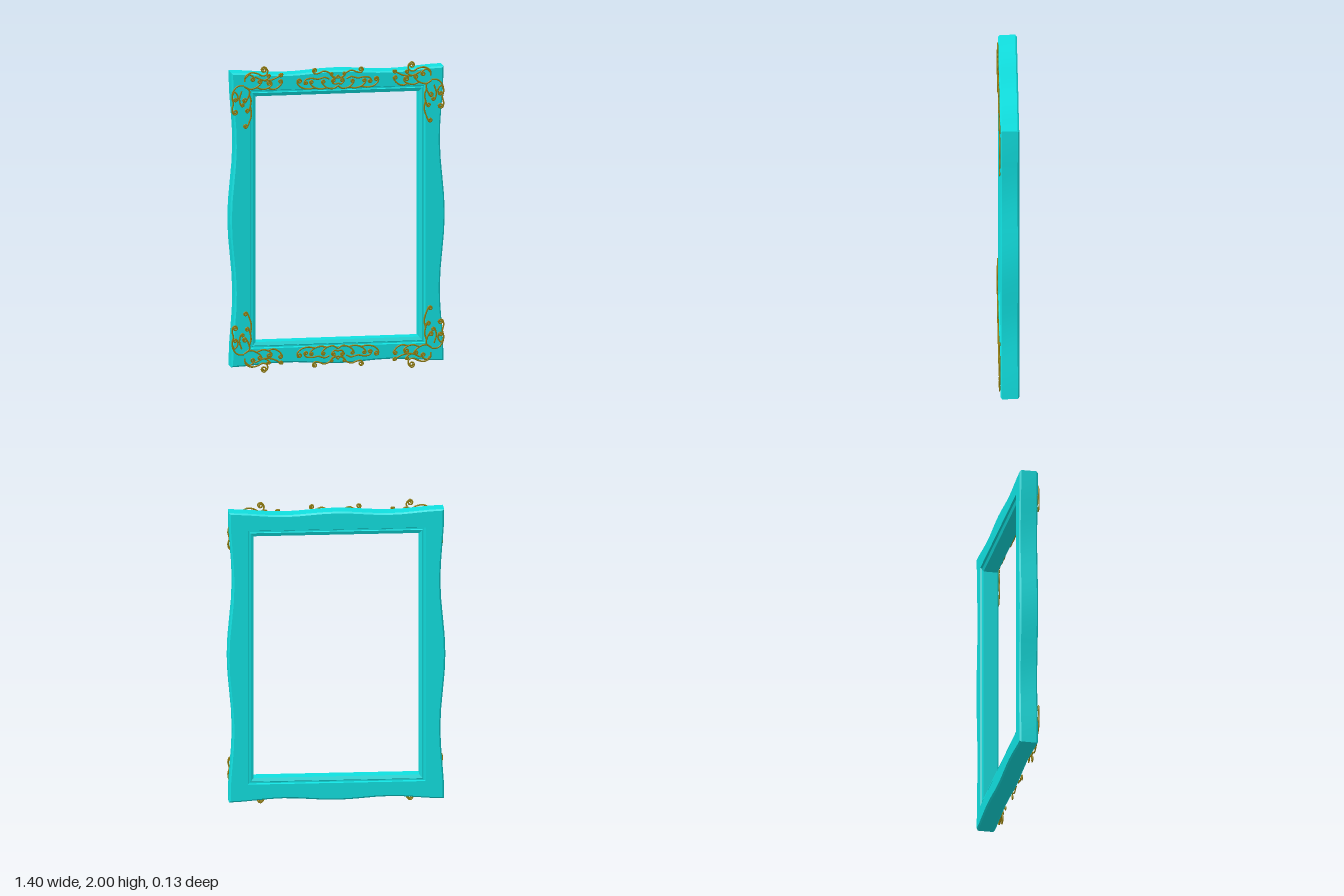
import * as THREE from 'three';
import { toCreasedNormals } from 'three/addons/utils/BufferGeometryUtils.js';

const HX = 0.69, HY = 0.958, MID = 1, SEGS = 16;
const frameMat = new THREE.MeshStandardMaterial({ color: 0x10e0e0 });
const goldMat = new THREE.MeshStandardMaterial({ color: 0x9a8410 });

// Gentle wave of an outer edge; s runs -1..1 along the side
const wave = (s, dip, bulge) => dip * (Math.cos(2 * Math.PI * s) - 1) / 2 + bulge * (1 - s * s);

// One counter-clockwise ring around the frame
function ring(hx, hy, wavy) {
  const pts = [];
  for (let side = 0; side < 4; side++) {
    for (let i = 0; i < SEGS; i++) {
      const s = -1 + 2 * i / SEGS;
      const sign = side < 2 ? 1 : -1;
      if (side % 2 === 0) pts.push([sign * (hx + wavy * wave(s, 0.03, 0.008)), sign * s * hy]);
      else pts.push([-sign * s * hx, sign * (hy + wavy * wave(s, 0.018, -0.004))]);
    }
  }
  return pts;
}

// Moulding: rings swept over the section, outer front edge inwards, then round the back
function frameGeometry() {
  const section = [
    [HX, HY, 0.045, 1], [HX - 0.01, HY - 0.01, 0.055, 1],
    [0.57, 0.84, 0.055, 0], [0.565, 0.835, 0.042, 0], [0.556, 0.826, 0.042, 0],
    [0.552, 0.822, 0.048, 0], [0.532, 0.8, 0.04, 0],
    [0.532, 0.8, -0.05, 0], [0.552, 0.822, -0.058, 0], [0.556, 0.826, -0.052, 0],
    [0.565, 0.835, -0.052, 0], [0.57, 0.84, -0.065, 0],
    [HX - 0.01, HY - 0.01, -0.065, 1], [HX, HY, -0.055, 1],
  ];
  const pos = [], idx = [], n = SEGS * 4, m = section.length;
  for (const [hx, hy, z, w] of section)
    for (const [x, y] of ring(hx, hy, w)) pos.push(x, y + MID, z);
  for (let i = 0; i < m; i++) {
    for (let j = 0; j < n; j++) {
      const k = (j + 1) % n, i2 = (i + 1) % m;
      const a = i * n + j, b = i * n + k, c = i2 * n + j, d = i2 * n + k;
      idx.push(a, b, c, b, d, c);
    }
  }
  const g = new THREE.BufferGeometry();
  g.setAttribute('position', new THREE.Float32BufferAttribute(pos, 3));
  g.setIndex(idx);
  return toCreasedNormals(g, 0.3);
}

// Points of a spiral that carries on from the end of a path and winds in to a centre
function spiral(path, [cx, cy]) {
  const [ax, ay] = path[path.length - 2], [bx, by] = path[path.length - 1];
  const dir = Math.sign((bx - ax) * (cy - by) - (by - ay) * (cx - bx)) || 1;
  const r0 = Math.hypot(bx - cx, by - cy), a0 = Math.atan2(by - cy, bx - cx);
  const out = [];
  for (let i = 1; i <= 12; i++) {
    const t = i / 12, a = a0 + dir * t * Math.PI * 2.8, r = r0 * (1 - 0.75 * t);
    out.push([cx + r * Math.cos(a), cy + r * Math.sin(a)]);
  }
  return out;
}

// A vine stroke: a path with an optional curl at its end and at its start
function stroke(path, endCurl, startCurl) {
  let pts = path.slice();
  if (endCurl) pts = pts.concat(spiral(path, endCurl));
  if (startCurl) pts = spiral(path.slice().reverse(), startCurl).reverse().concat(pts);
  const curve = new THREE.CatmullRomCurve3(pts.map(([x, y]) => new THREE.Vector3(x, y, 0)));
  const g = new THREE.TubeGeometry(curve, pts.length * 4, 0.0055, 6);
  return g.scale(1, 1, 0.75).translate(0, 0, 0.06);
}

// Strokes are drawn for the upper +x quarter: [path, end curl, start curl]
const cornerStrokes = [
  // top scroll
  [[[0.605, 1.9], [0.6, 1.935], [0.565, 1.957], [0.52, 1.95], [0.49, 1.935], [0.462, 1.945], [0.458, 1.972], [0.478, 1.993]], [0.48, 1.974]],
  [[[0.6, 1.925], [0.575, 1.945], [0.545, 1.925]], [0.555, 1.915]],
  // side scroll
  [[[0.61, 1.875], [0.65, 1.872], [0.677, 1.845], [0.688, 1.8], [0.68, 1.76], [0.688, 1.72], [0.68, 1.692]], [0.668, 1.704]],
  [[[0.688, 1.81], [0.672, 1.835], [0.652, 1.81], [0.655, 1.782]], [0.667, 1.785]],
  // inner vine along the top
  [[[0.61, 1.87], [0.57, 1.85], [0.53, 1.862], [0.505, 1.882], [0.495, 1.9]], [0.508, 1.897]],
  [[[0.53, 1.862], [0.49, 1.848], [0.455, 1.855], [0.43, 1.875], [0.435, 1.896]], [0.446, 1.885]],
  [[[0.455, 1.855], [0.42, 1.845], [0.385, 1.86], [0.362, 1.89]], [0.374, 1.895]],
  [[[0.54, 1.93], [0.48, 1.905], [0.43, 1.908], [0.39, 1.925], [0.362, 1.945]], [0.372, 1.937]],
  [[[0.48, 1.905], [0.458, 1.915], [0.44, 1.935]], [0.45, 1.932]],
  // inner vine down the side
  [[[0.61, 1.87], [0.575, 1.84], [0.585, 1.795], [0.605, 1.765]], [0.604, 1.78]],
  [[[0.578, 1.82], [0.565, 1.78], [0.57, 1.74], [0.585, 1.7]], [0.589, 1.712]],
  [[[0.57, 1.74], [0.562, 1.69], [0.575, 1.64], [0.595, 1.6]], [0.6, 1.612]],
  [[[0.625, 1.84], [0.64, 1.79], [0.63, 1.745]], [0.62, 1.75]],
];
const centreStrokes = [
  // upper scroll
  [[[0, 1.905], [0.03, 1.915], [0.055, 1.94], [0.09, 1.953], [0.12, 1.942], [0.148, 1.937], [0.164, 1.955]], [0.15, 1.958]],
  [[[0.0, 1.925], [0.02, 1.905], [0.045, 1.925]], [0.04, 1.933]],
  // lower chain of curled leaves
  [[[0, 1.855], [0.03, 1.838], [0.07, 1.845], [0.095, 1.865], [0.105, 1.885]], [0.094, 1.884]],
  [[[0.07, 1.845], [0.11, 1.838], [0.15, 1.848], [0.175, 1.868], [0.182, 1.886]], [0.171, 1.884]],
  [[[0.15, 1.848], [0.19, 1.84], [0.235, 1.85], [0.262, 1.875], [0.262, 1.9]], [0.25, 1.892]],
  [[[0.055, 1.9], [0.085, 1.912], [0.13, 1.902], [0.168, 1.908], [0.205, 1.903], [0.22, 1.88]], [0.208, 1.88]],
  [[[0, 1.87], [0.025, 1.868], [0.04, 1.888]], [0.028, 1.89]],
];

// Builds one quarter of an ornament and mirrors its points into the four quarters
function ornament(name, strokes) {
  const group = new THREE.Group();
  group.name = name;
  for (const sx of [1, -1]) for (const sy of [1, -1]) {
    const flip = ([x, y]) => [sx * x, MID + sy * (y - MID)];
    strokes.forEach(([path, end, start]) => {
      const mesh = new THREE.Mesh(
        stroke(path.map(flip), end && flip(end), start && flip(start)), goldMat);
      mesh.name = name + 'Vine';
      group.add(mesh);
    });
  }
  return group;
}

export function createModel() {
  const model = new THREE.Group();
  model.name = 'ornatePictureFrame';
  const frame = new THREE.Mesh(frameGeometry(), frameMat);
  frame.name = 'frameMoulding';
  model.add(frame, ornament('cornerFiligree', cornerStrokes), ornament('centreFiligree', centreStrokes));
  return model;
}
